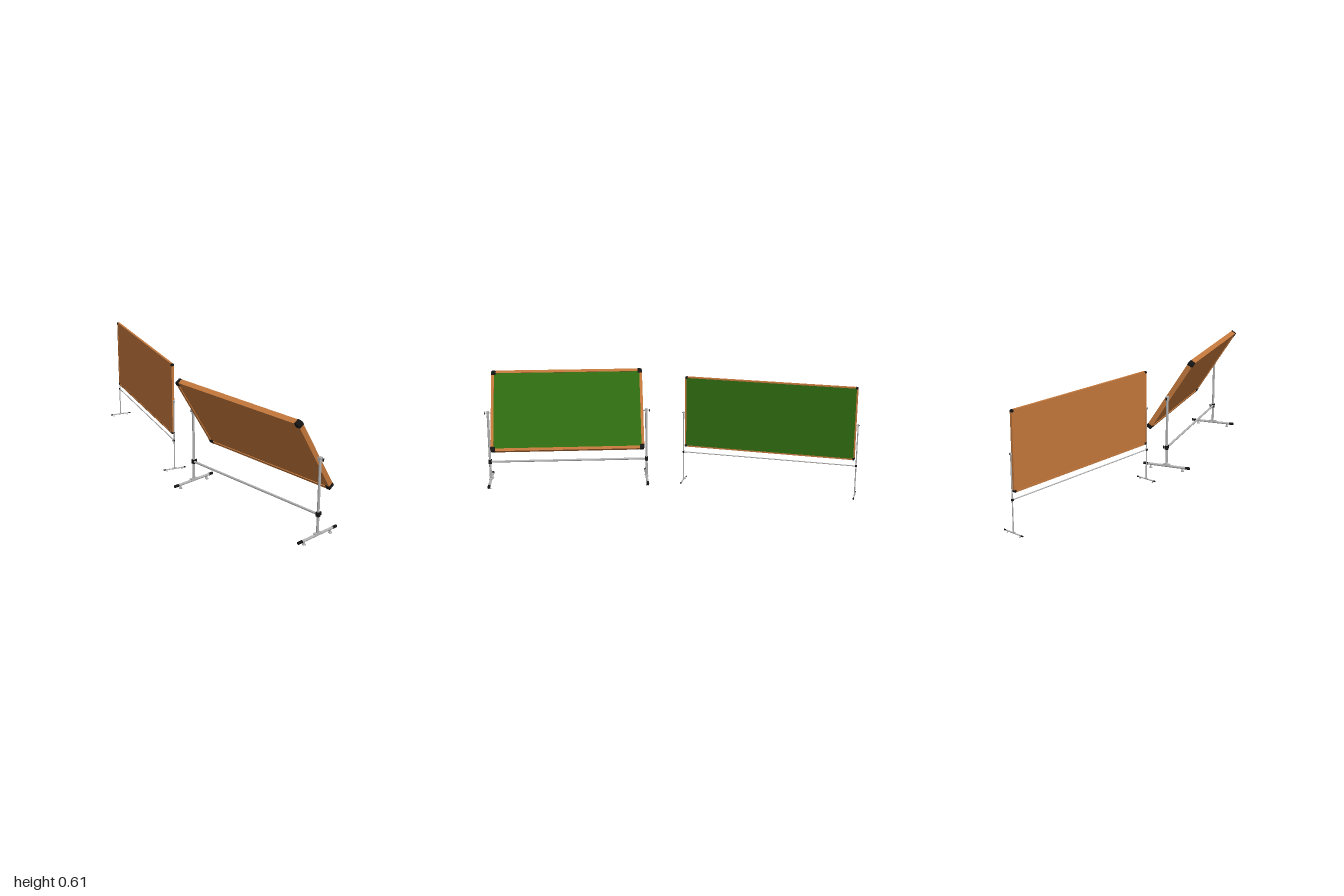
import * as THREE from 'three';

const material = (name, color) => {
  const m = new THREE.MeshStandardMaterial({ color });
  m.name = name;
  return m;
};

export function createModel() {
  const wood = material('orange wood', 0xc4783c);
  const green = material('chalkboard green', 0x2f6c10);
  const steel = material('grey steel', 0xb2b2b2);
  const black = material('black plastic', 0x141414);

  const add = (parent, name, geometry, mat, x = 0, y = 0, z = 0) => {
    const mesh = new THREE.Mesh(geometry, mat);
    mesh.name = name;
    mesh.position.set(x, y, z);
    parent.add(mesh);
    return mesh;
  };
  const box = (w, h, d) => new THREE.BoxGeometry(w, h, d);
  // Round rod along the chosen axis
  const rod = (r, length, axis = 'y') => {
    const g = new THREE.CylinderGeometry(r, r, length, 16);
    if (axis === 'x') g.rotateZ(Math.PI / 2);
    if (axis === 'z') g.rotateX(Math.PI / 2);
    return g;
  };

  // Corner cover with one rounded outer corner, pointing to +x +y
  function cornerGeometry(size, depth) {
    const r = size * 0.6;
    const s = new THREE.Shape();
    s.moveTo(-size, -size);
    s.lineTo(0, -size);
    s.lineTo(0, -r);
    s.quadraticCurveTo(0, 0, -r, 0);
    s.lineTo(-size, 0);
    s.closePath();
    const g = new THREE.ExtrudeGeometry(s, { depth, bevelEnabled: false, curveSegments: 5 });
    g.translate(0, 0, -depth / 2);
    return g;
  }

  // Framed panel: green on +z, wood on -z
  function makePanel(length, height, k) {
    const panel = new THREE.Group();
    panel.name = 'writingBoard';
    const T = 0.027 * k, W = 0.015 * k, cap = 0.025 * k;
    add(panel, 'backing', box(length - 2 * W, height - 2 * W, T * 0.7), wood);
    add(panel, 'writingSurface', box(length - 2 * W, height - 2 * W, 0.002 * k), green, 0, 0, T * 0.36);
    for (const s of [-1, 1]) {
      add(panel, 'longFrameBar', box(length - 2 * cap, W, T), wood, 0, s * (height - W) / 2, 0);
      add(panel, 'shortFrameBar', box(W, height - 2 * cap, T), wood, s * (length - W) / 2, 0, 0);
    }
    const corner = cornerGeometry(cap, T * 1.08);
    const e = 0.001 * k;
    [[1, 1, 0], [-1, 1, 1], [-1, -1, 2], [1, -1, 3]].forEach(([sx, sy, turn]) => {
      const c = add(panel, 'cornerCover', corner, black, sx * (length / 2 + e), sy * (height / 2 + e), 0);
      c.rotation.z = turn * Math.PI / 2;
    });
    return panel;
  }

  // One end of the stand: foot, post, clamp and pivot; side is -1 or 1
  function makeLeg(o, side) {
    const { k } = o;
    const leg = new THREE.Group();
    leg.name = 'leg';
    const footY = 0.021 * k;
    add(leg, 'foot', rod(0.0067 * k, 0.22 * k, 'z'), steel, 0, footY, 0);
    for (const s of [-1, 1]) {
      add(leg, 'footEndCap', rod(0.0073 * k, 0.026 * k, 'z'), black, 0, footY, s * 0.119 * k);
      const pad = new THREE.LatheGeometry([
        [0, 0], [0.009, 0], [0.009, 0.003], [0.0045, 0.005], [0.0045, 0.017],
      ].map(([x, y]) => new THREE.Vector2(x * k, y * k)), 14);
      add(leg, 'levellingPad', pad, steel, 0, 0, s * 0.091 * k);
    }
    add(leg, 'postFlange', box(0.016 * k, 0.005 * k, 0.042 * k), steel, 0, 0.029 * k, 0);
    add(leg, 'post', rod(0.0064 * k, o.pivotY - footY, 'y'), steel, 0, (o.pivotY + footY) / 2, 0);

    // Crossbar clamp and its tightening knob
    const z = o.knobSide;
    add(leg, 'clamp', box(0.017 * k, 0.022 * k, 0.017 * k), black, 0, o.barY, 0);
    add(leg, 'clampStem', rod(0.0025 * k, 0.012 * k, 'z'), black, 0, o.barY, z * 0.013 * k);
    add(leg, 'clampKnob', box(0.006 * k, 0.016 * k, 0.004 * k), black, 0, o.barY, z * 0.019 * k);

    // Pivot bracket, axle and outer knob
    add(leg, 'pivotBracket', box(0.013 * k, 0.024 * k, 0.017 * k), steel, 0, o.pivotY - 0.002 * k, 0);
    add(leg, 'pivotAxle', rod(0.003 * k, 0.034 * k, 'x'), steel, 0, o.pivotY, 0);
    add(leg, 'pivotKnob', box(0.004 * k, 0.014 * k, 0.006 * k), black, side * 0.018 * k, o.pivotY, 0);
    leg.position.x = side * o.span / 2;
    return leg;
  }

  function makeBoard(o) {
    const board = new THREE.Group();
    board.name = o.name;
    for (const side of [-1, 1]) board.add(makeLeg(o, side));
    add(board, 'crossbar', rod(0.0058 * o.k, o.span, 'x'), steel, 0, o.barY, 0);
    // The panel turns about the pivot line between the posts
    const pivot = new THREE.Group();
    pivot.name = 'pivot';
    pivot.position.y = o.pivotY;
    pivot.rotation.x = -THREE.MathUtils.degToRad(o.tilt);
    const panel = makePanel(o.length, o.height, o.k);
    panel.position.y = o.rise;
    pivot.add(panel);
    board.add(pivot);
    board.rotation.y = THREE.MathUtils.degToRad(o.turn);
    board.position.set(o.x, 0, o.z);
    return board;
  }

  const model = new THREE.Group();
  model.name = 'chalkboards';
  model.add(makeBoard({
    name: 'tiltedBoard', k: 1, span: 0.857, length: 0.822, height: 0.455, pivotY: 0.4,
    rise: 0.01, barY: 0.125, tilt: 32, turn: 110, knobSide: 1, x: -0.001, z: 0.552,
  }));
  model.add(makeBoard({
    name: 'uprightBoard', k: 0.47, span: 0.936, length: 0.918, height: 0.391, pivotY: 0.394,
    rise: 0.006, barY: 0.172, tilt: 0, turn: 90, knobSide: -1, x: -0.177, z: -0.522,
  }));
  return model;
}
